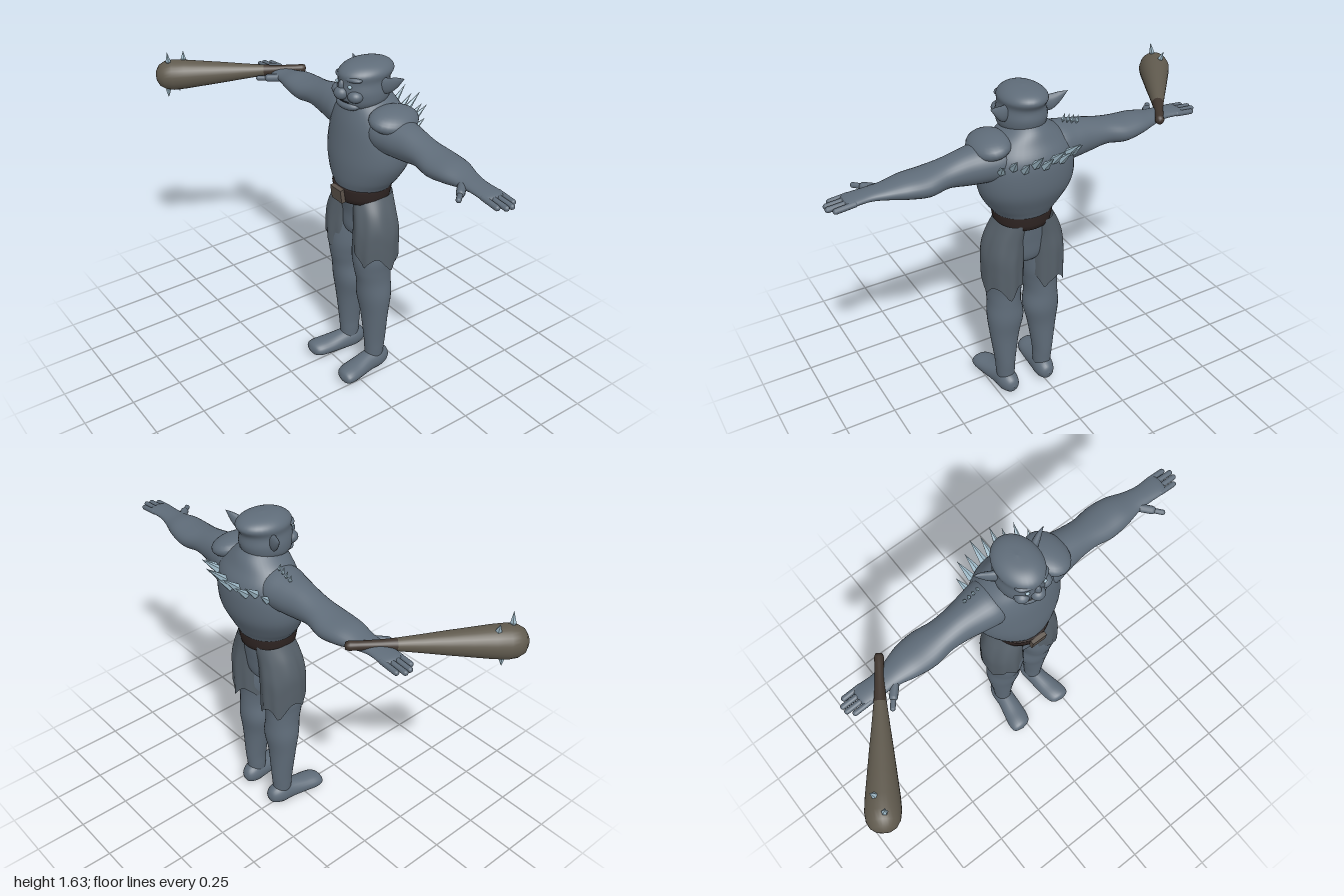
import * as THREE from 'three';

const CX = 0.095; // the body's own middle line
const mat = (name, color, extra = {}) => {
  const m = new THREE.MeshStandardMaterial({ color, ...extra });
  m.name = name;
  return m;
};
const skin = mat('skin', 0x5f6c79);
const cloth = mat('cloth', 0x566069, { side: THREE.DoubleSide });
const leather = mat('leather', 0x2f2523, { side: THREE.DoubleSide });
const metal = mat('buckle metal', 0x5c534b);
const wood = mat('wood', 0x605a4e);
const grip = mat('grip', 0x40362f);
const crystal = mat('crystal', 0x9fbac8);
const dark = mat('dark', 0x20242a);

const V = (x, y, z) => new THREE.Vector3(x, y, z);
const UP = V(0, 1, 0);

function add(parent, name, geo, material, pos, scale) {
  const m = new THREE.Mesh(geo, material);
  m.name = name;
  if (pos) m.position.set(...pos);
  if (scale) m.scale.set(...scale);
  parent.add(m);
  return m;
}

const ball = (parent, name, material, pos, scale) =>
  add(parent, name, new THREE.SphereGeometry(1, 24, 16), material, pos, scale);

// Smooth skin through elliptical rows [t, c1, c2, r1, r2] along one axis
function loft(axis, rows, { segs = 32, sub = 5, warp } = {}) {
  const centre = new THREE.CatmullRomCurve3(rows.map(r => V(r[0], r[1], r[2])), false, 'catmullrom');
  const radius = new THREE.CatmullRomCurve3(rows.map(r => V(r[3], r[4], 0)), false, 'catmullrom');
  const n = (rows.length - 1) * sub;
  const pos = [], idx = [];
  for (let i = 0; i <= n; i++) {
    const c = centre.getPoint(i / n), r = radius.getPoint(i / n);
    for (let j = 0; j < segs; j++) {
      const a = (j / segs) * Math.PI * 2;
      const p = c.y + Math.max(r.x, 0) * Math.cos(a), q = c.z + Math.max(r.y, 0) * Math.sin(a);
      const v = axis === 'y' ? V(p, c.x, q) : axis === 'x' ? V(c.x, p, q) : V(p, q, c.x);
      if (warp) warp(v, i / n, a);
      pos.push(v.x, v.y, v.z);
    }
  }
  const flip = (axis !== 'y') !== (rows[rows.length - 1][0] < rows[0][0]);
  for (let i = 0; i < n; i++) for (let j = 0; j < segs; j++) {
    const k = (j + 1) % segs;
    const a = i * segs + j, b = a + segs, c = i * segs + k, d = c + segs;
    if (flip) idx.push(a, c, b, c, d, b);
    else idx.push(a, b, c, c, b, d);
  }
  const g = new THREE.BufferGeometry();
  g.setAttribute('position', new THREE.Float32BufferAttribute(pos, 3));
  g.setIndex(idx);
  g.computeVertexNormals();
  return g;
}

// Stand a +y geometry at point a, pointing along dir
function aim(mesh, a, dir) {
  mesh.position.copy(a);
  mesh.quaternion.setFromUnitVectors(UP, dir.clone().normalize());
}

function finger(parent, name, a, b, r) {
  const d = b.clone().sub(a);
  const m = add(parent, name, new THREE.CapsuleGeometry(r, d.length(), 6, 12), skin);
  aim(m, a.clone().add(b).multiplyScalar(0.5), d);
}

// Faceted shard, widest near its base
function spike(parent, name, base, dir, len, r) {
  const pts = [[0, 0], [r, len * 0.3], [0, len]].map(p => new THREE.Vector2(...p));
  const g = new THREE.LatheGeometry(pts, 5).toNonIndexed();
  g.computeVertexNormals();
  aim(add(parent, name, g, crystal), base, dir);
}

function buildTorso(g) {
  add(g, 'torso', loft('y', [
    [0.74, CX, -0.11, 0, 0], [0.79, CX, -0.11, 0.1, 0.08], [0.9, CX, -0.115, 0.135, 0.095],
    [1.0, CX, -0.11, 0.122, 0.115], [1.05, CX, -0.11, 0.145, 0.132], [1.1, CX, -0.118, 0.182, 0.148],
    [1.18, CX, -0.135, 0.22, 0.165], [1.27, CX, -0.145, 0.224, 0.165], [1.35, CX, -0.148, 0.205, 0.155],
    [1.41, CX, -0.14, 0.165, 0.13], [1.46, CX, -0.135, 0.1, 0.105], [1.5, CX, -0.13, 0.05, 0.06],
  ], { segs: 40 }), skin);
}

function buildHead(g) {
  add(g, 'head', loft('y', [
    [1.415, CX, -0.09, 0, 0], [1.425, CX, -0.085, 0.06, 0.07], [1.455, CX, -0.1, 0.1, 0.11],
    [1.5, CX, -0.105, 0.108, 0.125], [1.55, CX, -0.105, 0.1, 0.122], [1.585, CX, -0.115, 0.103, 0.132],
    [1.61, CX, -0.12, 0.085, 0.112], [1.626, CX, -0.12, 0.05, 0.07], [1.632, CX, -0.12, 0, 0],
  ]), skin);
  ball(g, 'brow', skin, [CX, 1.572, -0.025], [0.085, 0.02, 0.042]);
  ball(g, 'nose', skin, [CX, 1.505, 0.018], [0.034, 0.03, 0.032]);
  ball(g, 'noseBridge', skin, [CX, 1.535, 0.01], [0.016, 0.032, 0.022]);
  ball(g, 'jaw', skin, [CX, 1.447, -0.02], [0.07, 0.026, 0.042]);
  ball(g, 'mouth', dark, [CX, 1.468, 0.009], [0.045, 0.004, 0.008]);
  for (const s of [-1, 1]) {
    ball(g, 'eye', crystal, [CX + s * 0.045, 1.541, 0.006], [0.011, 0.008, 0.008]);
    ball(g, 'cheek', skin, [CX + s * 0.058, 1.497, -0.015], [0.035, 0.028, 0.034]);
    add(g, 'ear', loft('x', [
      [CX + s * 0.075, 1.53, -0.13, 0.035, 0.02], [CX + s * 0.115, 1.535, -0.15, 0.036, 0.02],
      [CX + s * 0.15, 1.556, -0.165, 0.024, 0.013], [CX + s * 0.185, 1.583, -0.178, 0, 0],
    ], { segs: 16 }), skin);
  }
}

function buildArm(g, s) {
  const X = d => CX + s * d;
  add(g, 'arm', loft('x', [
    [0.06, 1.34, -0.14, 0.07, 0.09], [0.14, 1.338, -0.14, 0.092, 0.11], [0.22, 1.333, -0.14, 0.088, 0.098],
    [0.3, 1.33, -0.14, 0.078, 0.083], [0.39, 1.327, -0.14, 0.06, 0.078], [0.48, 1.316, -0.142, 0.057, 0.09],
    [0.57, 1.32, -0.14, 0.047, 0.082], [0.65, 1.32, -0.135, 0.031, 0.06], [0.72, 1.322, -0.13, 0.022, 0.05],
    [0.79, 1.32, -0.13, 0.018, 0.052], [0.82, 1.318, -0.13, 0.013, 0.045], [0.83, 1.318, -0.13, 0, 0],
  ].map(r => [X(r[0]), ...r.slice(1)])), skin);
  [0.87, 0.893, 0.891, 0.868].forEach((tip, i) => {
    const z = -0.171 + i * 0.027;
    finger(g, 'finger', V(X(0.79), 1.319, z), V(X(tip), 1.311, z), 0.0125);
  });
  finger(g, 'thumb', V(X(0.66), 1.318, -0.1), V(X(0.705), 1.313, -0.05), 0.019);
  finger(g, 'thumbTip', V(X(0.7), 1.313, -0.055), V(X(0.737), 1.31, -0.012), 0.012);
}

function buildLeg(g, s) {
  const mir = rows => rows.map(r => [r[0], CX + s * r[1], ...r.slice(2)]);
  add(g, 'leg', loft('y', mir([
    [0.06, 0.103, -0.12, 0.04, 0.045], [0.13, 0.104, -0.12, 0.046, 0.05], [0.2, 0.105, -0.12, 0.051, 0.056],
    [0.35, 0.103, -0.115, 0.072, 0.066], [0.46, 0.097, -0.113, 0.089, 0.082], [0.55, 0.1, -0.107, 0.08, 0.085],
    [0.62, 0.098, -0.1, 0.084, 0.092], [0.7, 0.095, -0.1, 0.092, 0.1], [0.82, 0.085, -0.105, 0.08, 0.095],
  ])), skin);
  add(g, 'foot', loft('z', mir([
    [-0.205, 0.1, 0.06, 0, 0], [-0.19, 0.1, 0.06, 0.032, 0.036], [-0.145, 0.103, 0.062, 0.05, 0.057],
    [-0.08, 0.108, 0.058, 0.05, 0.053], [0, 0.12, 0.053, 0.057, 0.043], [0.06, 0.13, 0.051, 0.058, 0.038],
    [0.092, 0.135, 0.05, 0.043, 0.027], [0.105, 0.136, 0.05, 0, 0],
  ]), { segs: 24 }), skin);
  // Ragged cloth, longer at the back
  add(g, 'skirtPanel', loft('y', mir([
    [1, 0.06, -0.12, 0.075, 0.1], [0.9, 0.088, -0.112, 0.088, 0.105],
    [0.8, 0.105, -0.11, 0.094, 0.112], [0.7, 0.108, -0.108, 0.095, 0.114], [0.64, 0.109, -0.108, 0.094, 0.113],
  ]), {
    segs: 60, sub: 6,
    warp: (v, u, a) => {
      const hem = 0.635 + 0.03 * Math.sin(a) + 0.065 * Math.abs(Math.sin(2.5 * a + s * 0.4));
      v.y = 1 - (1 - hem) * u;
      v.z += 0.004 * u * Math.sin(9 * a);
    },
  }), cloth);
}

function buildBelt(g) {
  const pts = [[0.115, 0.975], [0.13, 0.976], [0.135, 1.0], [0.142, 1.042], [0.138, 1.048], [0.115, 1.045]];
  const belt = new THREE.LatheGeometry(pts.map(p => new THREE.Vector2(...p)), 40);
  add(g, 'belt', belt, leather, [CX, 0, -0.105], [1, 1, 0.96]);
  const buckle = add(g, 'buckle', new THREE.BoxGeometry(0.078, 0.068, 0.02), metal, [CX, 1.012, 0.033]);
  buckle.rotation.x = 0.15;
}

function buildClub(g) {
  const start = V(-0.555, 1.342, -0.225), end = V(-0.968, 1.308, 0.382);
  const dir = end.clone().sub(start).normalize();
  const part = (name, pts, m) =>
    aim(add(g, name, new THREE.LatheGeometry(pts.map(p => new THREE.Vector2(...p)), 28), m), start, dir);
  part('clubGrip', [[0, -0.01], [0.016, -0.006], [0.021, 0.01], [0.019, 0.04], [0.022, 0.14], [0.027, 0.2]], grip);
  part('clubHead', [[0.027, 0.2], [0.038, 0.3], [0.05, 0.4], [0.061, 0.5], [0.071, 0.59], [0.075, 0.65],
    [0.069, 0.69], [0.053, 0.718], [0.028, 0.733], [0, 0.737]], wood);
  // Shards above and below the head
  for (const [t, side, up, len] of [[0.67, 0.2, 1, 0.075], [0.6, -0.35, 1, 0.06], [0.68, 0.25, -1, 0.055], [0.63, -0.3, -1, 0.05]]) {
    const out = V(side * 0.82, up, side * 0.56).normalize();
    spike(g, 'clubSpike', start.clone().addScaledVector(dir, t).addScaledVector(out, 0.056), out, len, 0.014);
  }
}

function buildSpikes(g) {
  // Fan across the upper back
  const n = 9;
  for (let i = 0; i < n; i++) {
    const u = (i / (n - 1)) * 2 - 1;
    const base = V(CX + u * 0.165, 1.3 + 0.015 * (i % 2), -0.275 + 0.055 * u * u);
    spike(g, 'backSpike', base, V(u * 0.35, 0.9, -0.9), 0.145 - 0.035 * u * u + 0.015 * (i % 2), 0.019);
  }
  // Small row on the right shoulder
  for (let i = 0; i < 4; i++)
    spike(g, 'shoulderSpike', V(-0.14 + i * 0.023, 1.41 + i * 0.008, -0.17), V(-0.3, 1, 0), 0.045, 0.009);
}

export function createModel() {
  const g = new THREE.Group();
  g.name = 'clubBrute';
  buildTorso(g);
  buildHead(g);
  for (const s of [-1, 1]) {
    buildArm(g, s);
    buildLeg(g, s);
  }
  buildBelt(g);
  const pad = ball(g, 'shoulderPad', skin, [0.27, 1.405, -0.135], [0.092, 0.05, 0.12]);
  pad.rotation.z = -0.2;
  buildClub(g);
  buildSpikes(g);
  return g;
}
